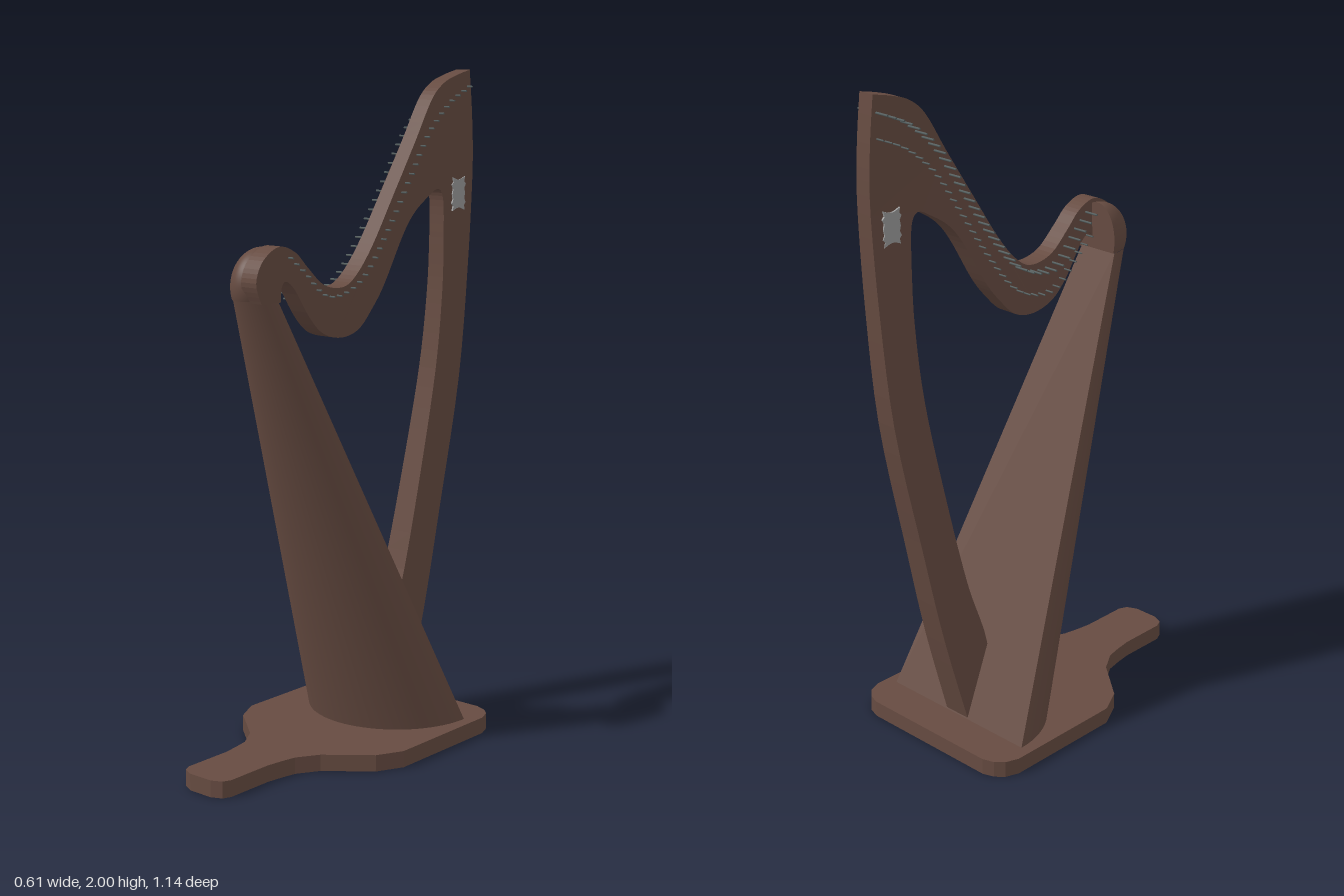
import * as THREE from 'three';

const wood = new THREE.MeshStandardMaterial({ color: 0x664b41 });
wood.name = 'brown wood';
const steel = new THREE.MeshStandardMaterial({ color: 0x566060 });
steel.name = 'dark steel';
const silver = new THREE.MeshStandardMaterial({ color: 0x9a9a9a });
silver.name = 'silver';

const lerp = THREE.MathUtils.lerp;
const vec = ([a, b]) => new THREE.Vector2(a, b);
const spline = (pts, n) => new THREE.SplineCurve(pts.map(vec)).getPoints(n);

// The frame leans sideways: wide and centred at the foot, slim and offset at the top
const frameT = y => Math.min(1, y / 1.7);
const frameRight = y => lerp(-0.045, 0.027, frameT(y));
const frameLeft = y => lerp(0.045, 0.078, frameT(y));

function add(group, name, geometry, material) {
  const mesh = new THREE.Mesh(geometry, material);
  mesh.name = name;
  group.add(mesh);
  return mesh;
}

// Flat base board with a narrow foot to the front
function baseGeometry() {
  const half = [[0.04, 0.57], [0.072, 0.555], [0.083, 0.53], [0.083, 0.38], [0.09, 0.33], [0.10, 0.28],
    [0.14, 0.215], [0.265, 0.113], [0.305, 0.033], [0.305, -0.35], [0.29, -0.39], [0.265, -0.413], [0.23, -0.425]];
  const mirrored = half.map(([x, z]) => [-x, z]).reverse();
  const g = new THREE.ExtrudeGeometry(new THREE.Shape([...half, ...mirrored].map(vec)),
    { depth: 0.05, bevelEnabled: false });
  return g.rotateX(Math.PI / 2).translate(0, 0.05, 0);
}

// Sound box: a tapering half-ellipse leaning forward, closed by a flat sound board
const BOTTOM = { x: 0, y: 0.05, z: -0.303, w: 0.27, d: 0.273 };
const TOP = { x: -0.006, y: 1.385, z: 0.3, w: 0.064, d: 0.09 };

function loft(sections, count) {
  const pos = [], index = [];
  for (const s of sections) {
    for (let i = 0; i <= count; i++) {
      const a = Math.PI * i / count;
      pos.push(s.x + s.w * Math.cos(a), s.y, s.z + s.d * Math.sin(a));
    }
  }
  for (let i = 0; i < count; i++) {
    const t = i + count + 1;
    index.push(i, t, i + 1, i + 1, t, t + 1);
  }
  const g = new THREE.BufferGeometry();
  g.setAttribute('position', new THREE.Float32BufferAttribute(pos, 3));
  g.setIndex(index);
  g.computeVertexNormals();
  return g;
}

function soundBoardGeometry() {
  const pos = [];
  for (const [s, side] of [[BOTTOM, 1], [BOTTOM, -1], [TOP, -1], [TOP, 1]]) pos.push(s.x + side * s.w, s.y, s.z);
  const g = new THREE.BufferGeometry();
  g.setAttribute('position', new THREE.Float32BufferAttribute(pos, 3));
  g.setIndex([0, 1, 2, 0, 2, 3]);
  g.computeVertexNormals();
  return g;
}

// Pillar and curved neck in one outline, given as [z, y]
function frameGeometry() {
  const pillarBack = spline([[-0.3, 0.05], [-0.38, 0.35], [-0.444, 0.65], [-0.524, 1.05], [-0.555, 1.4],
    [-0.566, 1.7], [-0.56, 1.86], [-0.545, 2.0]], 30);
  const neckTop = spline([[-0.545, 2.0], [-0.48, 1.985], [-0.418, 1.963], [-0.36, 1.915], [-0.286, 1.8], [-0.2, 1.67],
    [-0.095, 1.508], [-0.02, 1.423], [0.04, 1.395], [0.12, 1.41], [0.19, 1.466], [0.243, 1.513], [0.31, 1.534],
    [0.375, 1.5], [0.402, 1.44], [0.38, 1.38]], 75);
  const neckUnder = spline([[0.3, 1.378], [0.298, 1.418], [0.28, 1.434], [0.243, 1.407], [0.18, 1.323], [0.12, 1.27],
    [0.04, 1.249], [-0.037, 1.265], [-0.1, 1.323], [-0.153, 1.39], [-0.233, 1.524], [-0.286, 1.587],
    [-0.35, 1.63], [-0.397, 1.65], [-0.423, 1.614], [-0.43, 1.5]], 75);
  const pillarFront = spline([[-0.43, 1.5], [-0.43, 1.34], [-0.407, 1.1], [-0.344, 0.783], [-0.275, 0.49],
    [-0.206, 0.27], [-0.2, 0.05]], 30);
  const outline = [...pillarBack, ...neckTop.slice(1), ...neckUnder, ...pillarFront.slice(1)];
  const shape = new THREE.Shape(outline.map(p => new THREE.Vector2(-p.x, p.y)));
  const g = new THREE.ExtrudeGeometry(shape, { depth: 1, bevelEnabled: false }).rotateY(Math.PI / 2);
  const p = g.attributes.position;
  for (let i = 0; i < p.count; i++) {
    const y = p.getY(i);
    p.setX(i, p.getX(i) > 0.5 ? frameLeft(y) : frameRight(y));
  }
  g.computeVertexNormals();
  return g;
}

// Rounded shoulder joining the sound box to the neck
function addShoulder(group) {
  const cut = -0.33;
  const shoulder = new THREE.Group();
  shoulder.name = 'shoulder';
  add(shoulder, 'shoulderDome',
    new THREE.SphereGeometry(1, 32, 20, 0, Math.PI, 0, Math.acos(cut)), wood);
  const disc = new THREE.Shape();
  disc.absarc(0, 0, 1, Math.asin(cut), Math.PI - Math.asin(cut), false);
  add(shoulder, 'shoulderBack', new THREE.ShapeGeometry(disc, 32).rotateY(Math.PI), wood);
  shoulder.scale.set(0.068, 0.108, 0.106);
  shoulder.position.set(-0.004, 1.42, 0.297);
  group.add(shoulder);
}

// Rows of pins following the curve of the neck
function addPins(group) {
  const path = new THREE.SplineCurve([[-0.535, 1.95], [-0.44, 1.905], [-0.34, 1.82], [-0.25, 1.69], [-0.15, 1.54],
    [-0.05, 1.42], [0.05, 1.375], [0.13, 1.385], [0.2, 1.445], [0.27, 1.5]].map(vec));
  const rows = [
    { name: 'tuningPin', drop: 0, from: y => frameRight(y) - 0.043, to: frameRight, r: 0.0032, mat: steel },
    { name: 'bridgePin', drop: 0.07, from: y => frameRight(y) - 0.025, to: frameRight, r: 0.0025, mat: steel },
    { name: 'pinEnd', drop: 0, from: frameLeft, to: y => frameLeft(y) + 0.016, r: 0.003, mat: steel },
  ];
  const count = 36;
  for (const row of rows) {
    const set = new THREE.Group();
    set.name = row.name + 'Row';
    for (let i = 0; i < count; i++) {
      const p = path.getPointAt(i / (count - 1));
      const y = p.y - row.drop;
      const a = row.from(y), b = row.to(y);
      const pin = add(set, row.name, new THREE.CylinderGeometry(row.r, row.r, b - a + 0.004, 6), row.mat);
      pin.rotation.z = Math.PI / 2;
      pin.position.set((a + b) / 2, y, p.x);
    }
    group.add(set);
  }
}

// Ornamental shield plate on both faces of the pillar
function addShields(group) {
  const quarter = [[0, 0.042], [0.012, 0.044], [0.03, 0.051], [0.026, 0.036], [0.034, 0.028], [0.027, 0.016], [0.031, 0]];
  const flipX = quarter.map(([u, v]) => [-u, v]);
  const upper = [...quarter.slice().reverse(), ...flipX.slice(1)];
  const lower = upper.map(([u, v]) => [-u, -v]).slice(1, -1);
  const shape = new THREE.Shape([...upper, ...lower].map(vec));
  const y = 1.63;
  for (const x of [frameLeft(y), frameRight(y)]) {
    const g = new THREE.ExtrudeGeometry(shape, { depth: 0.008, bevelEnabled: false });
    g.translate(0, 0, -0.004).rotateY(Math.PI / 2);
    add(group, 'shieldPlate', g, silver).position.set(x, y, -0.495);
  }
}

export function createModel() {
  const harp = new THREE.Group();
  harp.name = 'harp';
  add(harp, 'base', baseGeometry(), wood);
  add(harp, 'soundBox', loft([BOTTOM, TOP], 40), wood);
  add(harp, 'soundBoard', soundBoardGeometry(), wood);
  add(harp, 'pillarAndNeck', frameGeometry(), wood);
  addShoulder(harp);
  addPins(harp);
  addShields(harp);
  return harp;
}
